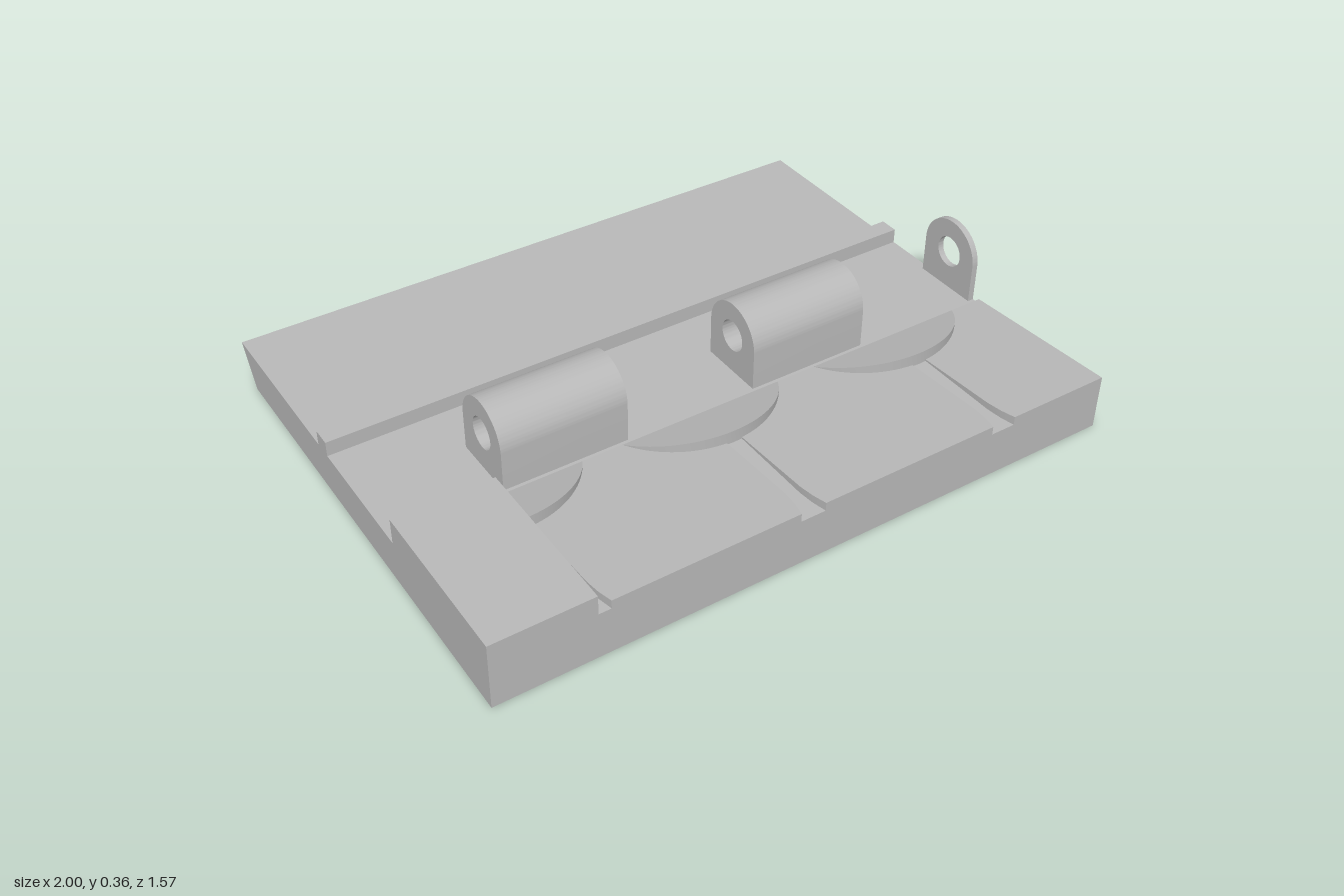
import * as THREE from 'three';
import { toCreasedNormals } from 'three/addons/utils/BufferGeometryUtils.js';

const grey = new THREE.MeshStandardMaterial({ color: 0xb8b8b8 });
grey.name = 'plain grey';

const rampY = (z) => 0.145 + (z - 0.26) * 0.061;
const wedgeY = (z) => 0.145 + (z - 0.26) * 0.28;

function add(group, name, geometry) {
  const mesh = new THREE.Mesh(geometry, grey);
  mesh.name = name;
  group.add(mesh);
}

// Side profile given as a shape in (-z, y), swept from x0 to x1
function sweep(shape, x0, x1) {
  const g = new THREE.ExtrudeGeometry(shape, { depth: x1 - x0, bevelEnabled: false, curveSegments: 40 });
  g.rotateY(Math.PI / 2).translate(x0, 0, 0);
  return toCreasedNormals(g, 0.5);
}

// Plan outline of [x, z] points, raised from bottom to the height topY(z)
function slab(points, bottom, topY) {
  const shape = new THREE.Shape(points.map(([x, z]) => new THREE.Vector2(x, -z)));
  const g = new THREE.ExtrudeGeometry(shape, { depth: 1, bevelEnabled: false });
  g.rotateX(-Math.PI / 2);
  const p = g.attributes.position;
  for (let i = 0; i < p.count; i++) p.setY(i, p.getY(i) > 0.5 ? topY(p.getZ(i)) : bottom);
  g.computeVertexNormals();
  return toCreasedNormals(g, 0.4);
}

export function createModel() {
  const model = new THREE.Group();
  model.name = 'hingePlate';

  // Base plate with undercut back edge and a step that forms the groove floors
  const profile = [[0.785, 0], [-0.71, 0], [-0.785, 0.13], [0.42, 0.13], [0.42, 0.15], [0.785, 0.15]];
  const baseShape = new THREE.Shape(profile.map(([z, y]) => new THREE.Vector2(-z, y)));
  add(model, 'basePlate', sweep(baseShape, -1, 1));

  // Rib along the back
  const rib = new THREE.BoxGeometry(2, 0.055, 0.06);
  rib.translate(0, 0.15, -0.185);
  add(model, 'rib', rib);

  // Raised end block
  const block = new THREE.BoxGeometry(0.307, 0.09, 0.525);
  block.translate(-0.8465, 0.167, 0.5225);
  add(model, 'endBlock', block);

  // Sloping front deck, notched by grooves that flare towards the front
  const outline = [[-0.693, 0.42], [-0.67, 0.42], [-0.67, 0.69], [-0.665, 0.74], [-0.655, 0.785]];
  for (const x of [-0.035, 0.625]) {
    const half = [[0.04, 0.785], [0.03, 0.74], [0.025, 0.69], [0.025, 0.42]];
    half.forEach(([dx, z]) => outline.push([x - dx, z]));
    [...half].reverse().forEach(([dx, z]) => outline.push([x + dx, z]));
  }
  outline.push([1, 0.785], [1, 0.26], [-0.693, 0.26]);
  add(model, 'frontDeck', slab(outline, 0.128, rampY));

  // Round-edged wedges rising towards the front; the first is cut by the block
  const radius = 0.297, centreZ = 0.125;
  const limit = Math.acos((0.26 - centreZ) / radius);
  [-0.693, -0.035, 0.625].forEach((x, i) => {
    const start = i === 0 ? 0 : -limit;
    const pts = i === 0 ? [[x, 0.26]] : [];
    for (let k = 0; k <= 32; k++) {
      const a = start + (limit - start) * k / 32;
      pts.push([x + radius * Math.sin(a), centreZ + radius * Math.cos(a)]);
    }
    add(model, 'wedge', slab(pts, 0.14, wedgeY));
  });

  // Hinge knuckles with a pin hole
  const r = 0.109, cy = 0.254;
  const lug = new THREE.Shape();
  lug.moveTo(-centreZ - r, 0.125);
  lug.lineTo(-centreZ + r, 0.125);
  lug.lineTo(-centreZ + r, cy);
  lug.absarc(-centreZ, cy, r, 0, Math.PI, false);
  lug.closePath();
  const hole = new THREE.Path();
  hole.absarc(-centreZ, cy, 0.05, 0, Math.PI * 2, true);
  lug.holes.push(hole);
  for (const [x0, x1] of [[-0.66, -0.265], [0.16, 0.555], [0.98, 1]]) {
    add(model, 'hingeKnuckle', sweep(lug, x0, x1));
  }
  return model;
}
